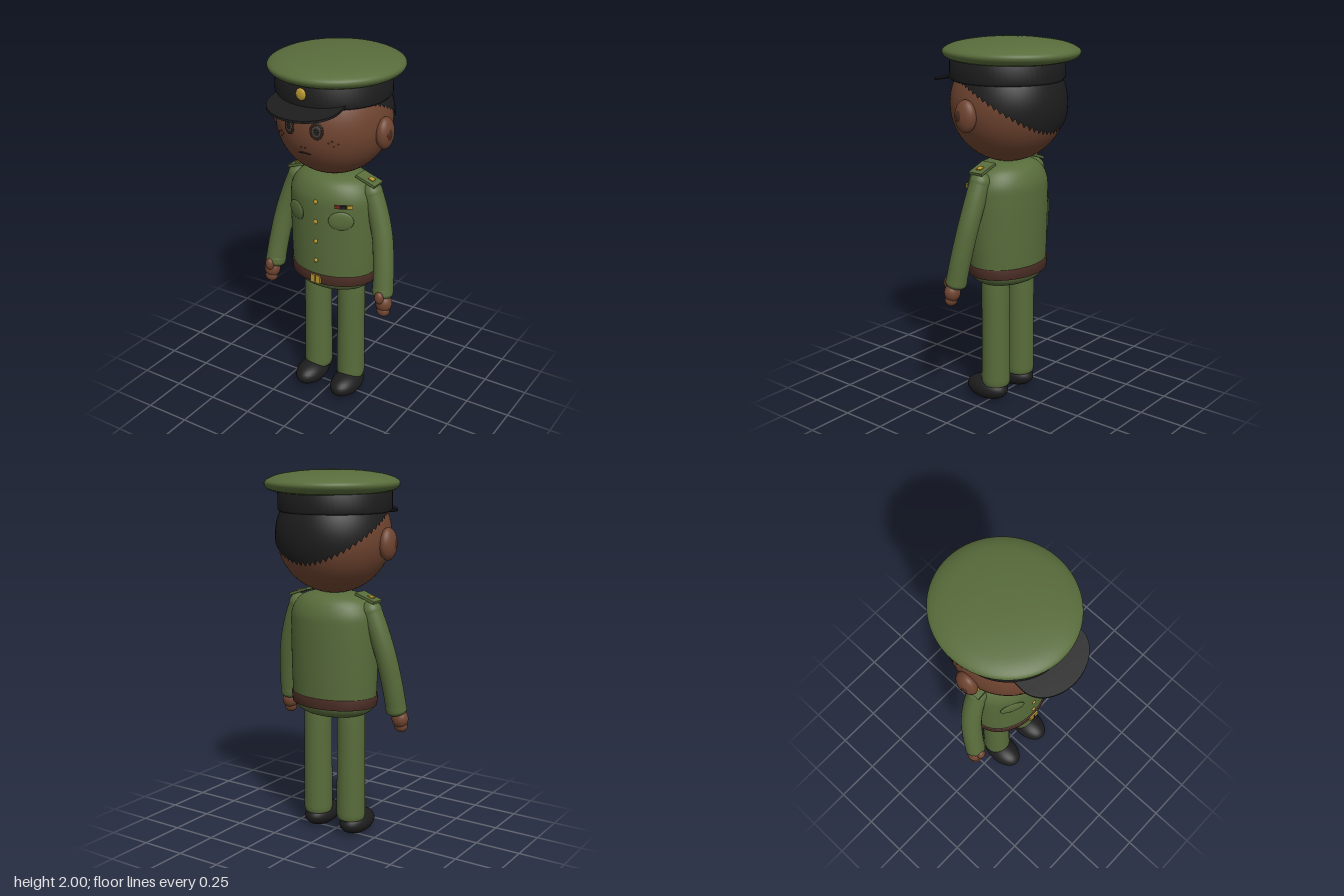
import * as THREE from 'three';

const mat = (name, color) => new THREE.MeshStandardMaterial({ name, color });

export function createModel() {
  const green = mat('uniform green', 0x586c3b);
  const skin = mat('skin', 0x6f4430);
  const darkSkin = mat('dark skin', 0x4a2b20);
  const black = mat('black', 0x1d1d1e);
  black.side = THREE.DoubleSide;
  const brown = mat('belt brown', 0x4b2d25);
  const gold = mat('gold', 0xb8982f);
  const eyeDark = mat('eye dark', 0x2a1d19);
  const iris = mat('iris', 0x4a3d38);
  const red = mat('ribbon red', 0x7a2a22);

  const model = new THREE.Group();
  const add = (name, geo, material, pos = [0, 0, 0], parent = model) => {
    const m = new THREE.Mesh(geo, material);
    m.name = name;
    m.position.set(...pos);
    parent.add(m);
    return m;
  };
  const ball = (rx, ry, rz, seg = 32) => new THREE.SphereGeometry(1, seg, seg / 2).scale(rx, ry, rz);
  // Lathe around y, squashed in z; smooth profiles run through a spline
  const lathe = (pts, zScale = 1, smooth = true) => {
    let p = pts.map(([x, y]) => new THREE.Vector2(x, y));
    if (smooth) {
      p = new THREE.SplineCurve(p).getPoints(48);
      p.forEach(v => { v.x = Math.max(v.x, 0); });
    }
    return new THREE.LatheGeometry(p, 64).scale(1, 1, zScale);
  };

  // Head
  const HC = [0, 1.66, -0.02], HR = 0.305;
  add('head', ball(HR, HR, HR, 64), skin, HC);

  // Hair: a shell whose lower edge drops towards the nape
  const hairGeo = new THREE.SphereGeometry(1, 64, 24);
  const P = hairGeo.attributes.position, N = hairGeo.attributes.normal, UV = hairGeo.attributes.uv;
  for (let i = 0; i < P.count; i++) {
    const u = UV.getX(i) * Math.PI * 2;
    const fromFront = THREE.MathUtils.radToDeg(Math.acos(THREE.MathUtils.clamp(Math.sin(u), -1, 1)));
    const limit = 66 + 50 * THREE.MathUtils.smoothstep(fromFront, 60, 180);
    const t = THREE.MathUtils.degToRad(limit) * (1 - THREE.MathUtils.clamp(UV.getY(i), 0, 1));
    const n = [-Math.cos(u) * Math.sin(t), Math.cos(t), Math.sin(u) * Math.sin(t)];
    N.setXYZ(i, ...n);
    P.setXYZ(i, ...n.map(c => c * 0.314));
  }
  add('hair', hairGeo, black, HC);

  // Face details lie on the head surface
  const onFace = (name, geo, material, x, y, lift = 0, roll = 0) => {
    const dy = y - HC[1];
    const n = new THREE.Vector3(x, dy, Math.sqrt(HR * HR - x * x - dy * dy)).normalize();
    const m = add(name, geo, material);
    m.position.set(...HC).addScaledVector(n, HR + lift);
    m.lookAt(m.position.clone().add(n));
    m.rotateZ(roll);
    return m;
  };
  for (const s of [-1, 1]) {
    onFace('eye', ball(0.036, 0.045, 0.005, 24), eyeDark, s * 0.08, 1.675);
    onFace('iris', ball(0.024, 0.029, 0.003, 24), iris, s * 0.08, 1.675, 0.004);
    onFace('pupil', ball(0.014, 0.018, 0.002, 16), black, s * 0.08, 1.675, 0.0065);
    onFace('eyebrow', ball(0.038, 0.008, 0.005, 16), black, s * 0.088, 1.738, 0.002, s * 0.15);
    for (const [x, y] of [[0.135, 1.615], [0.155, 1.595], [0.175, 1.61], [0.15, 1.625]])
      onFace('freckle', ball(0.005, 0.005, 0.003, 8), darkSkin, s * x, y);
    onFace('nostril', ball(0.005, 0.004, 0.003, 8), darkSkin, s * 0.012, 1.575);
    onFace('mouth', ball(0.02, 0.005, 0.004, 16), eyeDark, s * 0.017, 1.54, 0, -s * 0.1);

    add('ear', ball(0.042, 0.085, 0.064), skin, [s * 0.313, 1.628, 0.005]);
    add('innerEar', ball(0.012, 0.034, 0.024, 16), darkSkin, [s * 0.345, 1.63, 0.018]);
  }

  // Cap: band, wide crown, visor and badge
  add('capBand', lathe([[0.26, 1.79], [0.292, 1.785], [0.302, 1.797], [0.302, 1.895], [0.27, 1.9]], 1, false),
    black, [0, 0, -0.015]);
  add('capCrown', lathe([[0.26, 1.882], [0.3, 1.89], [0.335, 1.905], [0.35, 1.93], [0.335, 1.952],
    [0.28, 1.975], [0.18, 1.992], [0.08, 1.999], [0, 2]], 0.365 / 0.35), green, [0, 0, -0.041]);
  const visor = new THREE.Shape();
  visor.moveTo(0.204, -0.14).lineTo(0.204, -0.26);
  visor.absellipse(0, -0.26, 0.204, 0.146, 0, -Math.PI, true);
  visor.lineTo(-0.204, -0.14);
  const visorGeo = new THREE.ExtrudeGeometry(visor, { depth: 0.012, bevelEnabled: false, curveSegments: 32 });
  visorGeo.rotateX(-Math.PI / 2);
  const V = visorGeo.attributes.position;
  for (let i = 0; i < V.count; i++) V.setY(i, V.getY(i) + 1.8 - (V.getZ(i) - 0.2) * 0.24);
  visorGeo.computeVertexNormals();
  add('capVisor', visorGeo, black);
  add('capBadge', ball(0.029, 0.031, 0.012, 24), gold, [0, 1.855, 0.288]);

  // Jacket
  const ZS = 0.75, TZ = -0.021;
  add('jacket', lathe([[0, 0.685], [0.13, 0.69], [0.205, 0.715], [0.238, 0.76], [0.247, 0.85], [0.252, 1.05],
    [0.253, 1.18], [0.245, 1.26], [0.2, 1.328], [0.12, 1.36], [0, 1.368]], ZS), green, [0, 0, TZ]);
  add('belt', lathe([[0.235, 0.752], [0.247, 0.752], [0.252, 0.805], [0.24, 0.808]], ZS + 0.01, false),
    brown, [0, 0, TZ]);
  add('buckle', new THREE.BoxGeometry(0.06, 0.046, 0.012), gold, [0, 0.78, 0.172]);
  add('bucklePin', new THREE.BoxGeometry(0.005, 0.046, 0.003), brown, [0, 0.78, 0.1785]);
  for (const y of [1.235, 1.12, 1.005, 0.89])
    add('button', ball(0.012, 0.012, 0.008, 16), gold, [0, y, 0.168]);

  // Flat pieces lying on the chest
  const onChest = (name, geo, material, x, y, lift) => {
    const a = 0.252, z = a * ZS * Math.sqrt(1 - (x / a) ** 2);
    const m = add(name, geo, material, [x, y, z + TZ + lift]);
    m.rotation.y = Math.atan2(x / (a * a), z / (a * a * ZS * ZS));
  };
  for (const s of [-1, 1]) onChest('pocket', ball(0.068, 0.052, 0.012), green, s * 0.138, 1.145, 0);
  [red, black, gold].forEach((c, i) =>
    onChest('ribbon', new THREE.BoxGeometry(0.03, 0.018, 0.009), c, 0.122 + i * 0.028, 1.227, 0.003));

  // Limbs, mirrored
  for (const s of [-1, 1]) {
    const side = new THREE.Group();
    side.name = s > 0 ? 'leftLimbs' : 'rightLimbs';
    model.add(side);
    const put = (name, geo, material, x, y, z) => add(name, geo, material, [s * x, y, z], side);

    // Sleeve and cuff
    const pts = [[0.232, 1.275, -0.02], [0.272, 1.17, -0.014], [0.31, 1.04, 0], [0.336, 0.88, 0.027], [0.35, 0.74, 0.052]]
      .map(([x, y, z]) => new THREE.Vector3(s * x, y, z));
    const path = new THREE.CatmullRomCurve3(pts);
    put('sleeve', new THREE.TubeGeometry(path, 32, 0.056, 24), green, 0, 0, 0);
    put('shoulder', ball(0.057, 0.057, 0.057), green, 0.232, 1.275, -0.02);
    const cuff = put('cuff', new THREE.CapsuleGeometry(0.057, 0.03, 8, 24).scale(1, 0.62, 1), green, 0.348, 0.752, 0.05);
    cuff.quaternion.setFromUnitVectors(new THREE.Vector3(0, -1, 0), path.getTangent(1));

    // Hand
    put('hand', ball(0.046, 0.05, 0.042), skin, 0.364, 0.69, 0.066);
    put('fingers', ball(0.037, 0.034, 0.032), skin, 0.366, 0.648, 0.073);
    put('thumb', ball(0.026, 0.036, 0.023), skin, 0.355, 0.735, 0.102);

    // Shoulder board with a gold mark
    const board = new THREE.Group();
    board.name = 'shoulderBoard';
    board.position.set(s * 0.212, 1.345, -0.018);
    board.rotation.z = -s * 0.33;
    side.add(board);
    add('board', new THREE.BoxGeometry(0.12, 0.014, 0.086), green, [0, 0, 0], board);
    add('boardMark', new THREE.BoxGeometry(0.03, 0.007, 0.03), gold, [s * 0.015, 0.009, 0], board);

    // Trouser leg and shoe
    put('trouserLeg', lathe([[0, 0.09], [0.06, 0.095], [0.078, 0.115], [0.079, 0.2], [0.077, 0.45],
      [0.074, 0.72], [0.05, 0.74], [0, 0.745]]), green, 0.109, 0, -0.022);
    put('shoe', ball(0.082, 0.066, 0.13), black, 0.117, 0.068, 0.031);
  }
  return model;
}
